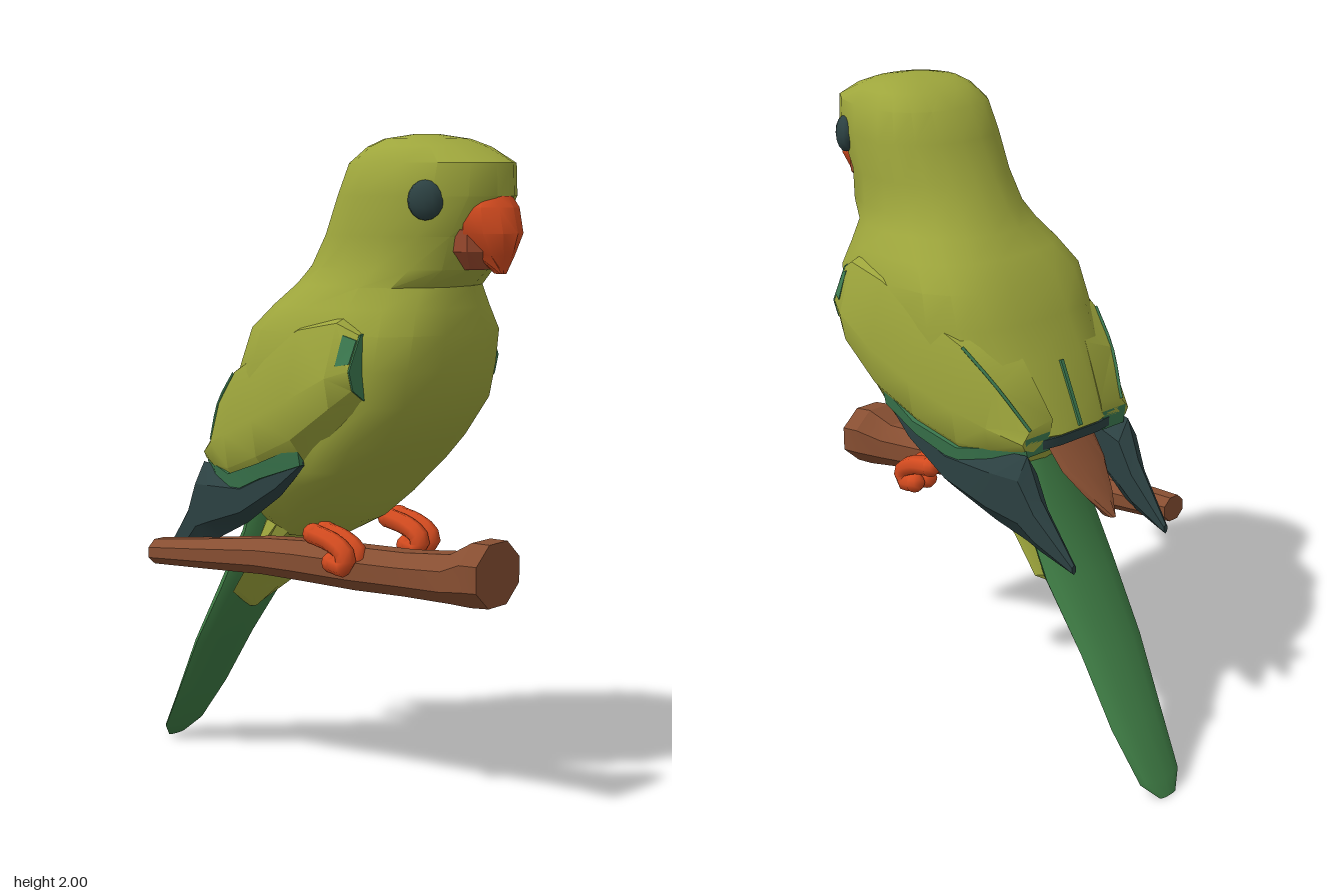
import * as THREE from 'three';
import { toCreasedNormals } from 'three/addons/utils/BufferGeometryUtils.js';

const material = (name, color) => {
  const m = new THREE.MeshStandardMaterial({ color });
  m.name = name;
  return m;
};

// Closed skin through a list of equal-length point loops, facing outwards
function loft(sections, crease = 0.45) {
  const n = sections[0].length, rows = sections.length;
  const pos = sections.flat(2), idx = [];
  for (let r = 0; r < rows - 1; r++) {
    for (let i = 0; i < n; i++) {
      const a = r * n + i, b = r * n + (i + 1) % n;
      idx.push(a, b, a + n, b, b + n, a + n);
    }
  }
  [0, rows - 1].forEach((r, end) => {
    const c = [0, 1, 2].map(k => sections[r].reduce((s, p) => s + p[k], 0) / n);
    const ci = pos.length / 3;
    pos.push(...c);
    for (let i = 0; i < n; i++) {
      const a = r * n + i, b = r * n + (i + 1) % n;
      end ? idx.push(ci, a, b) : idx.push(ci, b, a);
    }
  });
  // Flip the winding when the enclosed volume is negative
  const at = i => new THREE.Vector3().fromArray(pos, i * 3);
  let volume = 0;
  for (let i = 0; i < idx.length; i += 3) {
    volume += at(idx[i]).dot(at(idx[i + 1]).cross(at(idx[i + 2])));
  }
  if (volume < 0) idx.reverse();
  const g = new THREE.BufferGeometry();
  g.setAttribute('position', new THREE.Float32BufferAttribute(pos, 3));
  g.setIndex(idx);
  return toCreasedNormals(g, crease);
}

// Horizontal superellipse ring, widest at depth zm
function ring(y, zf, zb, w, zm = (zf + zb) / 2, p = 2, n = 18, xc = 0) {
  return Array.from({ length: n }, (_, i) => {
    const t = i / n * Math.PI * 2, c = Math.cos(t), s = Math.sin(t);
    const bend = v => Math.sign(v) * Math.abs(v) ** (2 / p);
    return [xc + w * bend(c), y, zm + bend(s) * (s > 0 ? zf - zm : zm - zb)];
  });
}

const mix = (a, b, t) => a.map((v, k) => v + (b[k] - v) * t);

export function createModel() {
  const plumage = material('yellow green plumage', 0x9ea63c);
  const tailGreen = material('tail green', 0x3f7d45);
  const trimGreen = material('trim green', 0x3c7a50);
  const dark = material('dark slate', 0x2c4142);
  const orange = material('orange', 0xd44b1f);
  const brown = material('bark brown', 0x884f32);
  const jaw = material('dull red', 0x9c4a2e);

  const model = new THREE.Group();
  const add = (name, geometry, mat, parent = model) => {
    const mesh = new THREE.Mesh(geometry, mat);
    mesh.name = name;
    parent.add(mesh);
    return mesh;
  };

  // Torso and head: height, front, back, half width, widest depth, squareness
  const bodyRings = [
    [0.81, 0.08, -0.16, 0.11, -0.04, 2],
    [0.87, 0.19, -0.20, 0.18, 0.02, 2.2],
    [0.95, 0.27, -0.22, 0.25, 0.06, 2.4],
    [1.01, 0.32, -0.25, 0.29, 0.08, 2.5],
    [1.05, 0.36, -0.31, 0.305, 0.09, 2.6],
    [1.13, 0.43, -0.275, 0.318, 0.12, 2.7],
    [1.25, 0.52, -0.22, 0.325, 0.14, 2.7],
    [1.35, 0.535, -0.16, 0.33, 0.16, 2.8],
    [1.45, 0.55, -0.115, 0.32, 0.17, 2.8],
    [1.52, 0.535, -0.05, 0.29, 0.2, 2.5],
    [1.58, 0.53, 0.0, 0.255, 0.25, 2.2],
    [1.63, 0.59, 0.035, 0.23, 0.28, 2.1],
    [1.72, 0.61, 0.09, 0.22, 0.3, 2],
    [1.83, 0.68, 0.15, 0.22, 0.32, 2],
    [1.92, 0.675, 0.19, 0.20, 0.34, 2.1],
    [1.965, 0.58, 0.25, 0.165, 0.37, 2.3],
    [1.987, 0.51, 0.30, 0.13, 0.39, 2.4],
    [2.0, 0.43, 0.37, 0.05, 0.4, 2],
  ];
  add('body', loft(bodyRings.map(r => ring(...r)), 0.6), plumage);

  // Beak
  add('upperBeak', loft([
    [1.83, 0.68, 0.58, 0.07], [1.80, 0.70, 0.57, 0.092], [1.73, 0.717, 0.57, 0.092],
    [1.67, 0.70, 0.59, 0.05], [1.62, 0.675, 0.64, 0.012],
  ].map(([y, f, b, w]) => ring(y, f, b, w, b + 0.03, 2, 12)), 0.6), orange);
  add('lowerBeak', loft([
    [1.74, 0.65, 0.50, 0.1], [1.68, 0.65, 0.50, 0.098], [1.63, 0.62, 0.50, 0.06],
  ].map(([y, f, b, w]) => ring(y, f, b, w, 0.56, 2.4, 12))), jaw);

  // Tail and the feathers around it
  add('tail', loft([
    [0.95, -0.17, 0.05, 0, 0.12], [0.80, -0.205, 0.055, 0, 0.135], [0.60, -0.31, 0.06, 0, 0.14],
    [0.40, -0.445, 0.047, 0.005, 0.125], [0.20, -0.572, 0.035, 0.022, 0.108],
    [0.05, -0.675, 0.026, 0.03, 0.083], [0, -0.712, 0.008, 0.03, 0.035],
  ].map(([y, z, d, x, w]) => ring(y, z + d, z - d, w, z, 2, 12, x)), 0.9), tailGreen);
  add('undertail', loft([
    [0.86, 0.08, -0.18, 0.14], [0.71, -0.155, -0.20, 0.143],
    [0.60, -0.235, -0.28, 0.138], [0.525, -0.292, -0.33, 0.015],
  ].map(([y, f, b, w]) => ring(y, f, b, w, undefined, 2, 12))), plumage);
  add('rump', loft([
    [1.04, -0.24, 0.10], [0.94, -0.32, 0.09], [0.87, -0.38, 0.055], [0.81, -0.425, 0.015],
  ].map(([y, z, w]) => ring(y, z + 0.025, z - 0.025, w, z, 2, 10))), brown);
  add('backRim', loft([1.015, 1.043].map(y => ring(y, -0.05, -0.302, 0.21, -0.15, 3.5))), dark);
  const seam = add('backSeam', new THREE.BoxGeometry(0.012, 0.2, 0.008), trimGreen);
  seam.position.set(0, 1.15, -0.265);
  seam.rotation.x = 0.42;

  // Wing stations: depth, top, bottom, outer half width
  const wingStations = [
    [0.4, 1.49, 1.27, 0.338], [0.34, 1.54, 1.20, 0.368], [0.2, 1.53, 1.085, 0.375],
    [0.05, 1.46, 1.02, 0.36], [-0.1, 1.38, 0.97, 0.325], [-0.2, 1.26, 0.985, 0.285],
    [-0.29, 1.10, 1.02, 0.225],
  ];
  // Flight feather stations: depth, top, bottom, centre x, half thickness
  const featherStations = [
    [0.2, 1.10, 1.07, 0.295, 0.012], [0.1, 1.07, 0.97, 0.29, 0.025], [-0.05, 1.01, 0.87, 0.275, 0.035],
    [-0.2, 1.02, 0.80, 0.245, 0.045], [-0.3, 1.02, 0.755, 0.215, 0.04],
    [-0.35, 0.90, 0.735, 0.21, 0.03], [-0.475, 0.73, 0.70, 0.2, 0.008],
  ];
  for (const s of [1, -1]) {
    const side = new THREE.Group();
    side.name = s > 0 ? 'leftSide' : 'rightSide';
    model.add(side);

    // Folded wing
    const wing = wingStations.map(([z, T, B, X]) => {
      const mid = T * 0.4 + B * 0.6;
      return [[0.45, T], [0.86, T - (T - B) * 0.16], [1, mid], [0.95, B + (T - B) * 0.15],
        [0.8, B], [0.5, mid]].map(([k, y]) => [s * k * X, y, z]);
    });
    add('wing', loft(wing, 0.6), plumage, side);

    // Green shoulder patch on the leading edge, wrapping onto the side
    const front = dz => wing[0].map(([x, y, z]) => [x, y, z + dz]);
    add('shoulderPatch', loft([front(0.001), front(0.006)]), trimGreen, side);
    const [p, q] = [0, 1].map(k => [0.15, 0.8].map(t => mix(wing[k][1], wing[k][2], t)));
    const spot = [p[0], p[1], mix(p[1], q[1], 0.6), mix(p[0], q[0], 0.6)];
    const lifted = dx => spot.map(([x, y, z]) => [x + s * dx, y, z]);
    add('shoulderSpot', loft([lifted(-0.002), lifted(0.005)]), trimGreen, side);

    // Thin green line along the upper rear edge of the wing
    const edge = new THREE.CatmullRomCurve3(wing.slice(4).map(w => new THREE.Vector3(...w[1])));
    add('wingEdgeLine', new THREE.TubeGeometry(edge, 6, 0.005, 5), trimGreen, side);

    // Jagged green trim under the wing edge
    add('wingTrim', loft(wingStations.slice(2).map(([z, , B, X], i) => {
      const fit = i ? 1 : 0.92, low = B - (i % 2 ? 0 : 0.012);
      return [[0.95, B + 0.045], [0.915, low], [0.5, low], [0.5, B + 0.045]]
        .map(([k, y]) => [s * k * fit * X, y, z]);
    })), trimGreen, side);

    // Dark flight feathers
    add('flightFeathers', loft(featherStations.map(([z, T, B, x, h]) => {
      const e = (T - B) / 4;
      return [[0, T], [h, T - e], [h, B + e], [0, B], [-h, B + e], [-h, T - e]]
        .map(([dx, y]) => [s * (x + dx), y, z]);
    })), dark, side);

    // Eye
    const eye = add('eye', new THREE.SphereGeometry(1, 12, 8), dark, side);
    eye.scale.set(0.03, 0.055, 0.05);
    eye.position.set(s * 0.168, 1.82, 0.53);
    eye.rotation.y = -s * 0.5;

    // Foot with two hooked toes, rounded at both ends
    for (const x of [0.143, 0.195]) {
      const path = new THREE.CatmullRomCurve3([
        [0.14, 0.85], [0.21, 0.835], [0.262, 0.805], [0.262, 0.77], [0.215, 0.775],
      ].map(([z, y]) => new THREE.Vector3(s * x, y, z)));
      add('toe', new THREE.TubeGeometry(path, 10, 0.031, 7), orange, side);
      for (const t of [0, 1]) {
        const end = add('toeEnd', new THREE.SphereGeometry(0.032, 8, 6), orange, side);
        end.position.copy(path.getPoint(t));
      }
    }
  }

  // Perch: depth, centre height, radius; it drifts sideways as it goes back
  add('perch', loft([
    [0.66, 0.772, 0.1], [0.61, 0.772, 0.102], [0.54, 0.752, 0.078], [0.4, 0.75, 0.07],
    [0.25, 0.752, 0.07], [0.08, 0.758, 0.066], [-0.05, 0.758, 0.06], [-0.25, 0.745, 0.05],
    [-0.42, 0.735, 0.042],
  ].map(([z, y, r]) => Array.from({ length: 8 }, (_, i) => {
    const a = (i + 0.5) * Math.PI / 4;
    return [0.01 + (z - 0.65) * 0.29 + r * 1.1 * Math.cos(a), y + r * Math.sin(a), z];
  }))), brown);

  return model;
}
